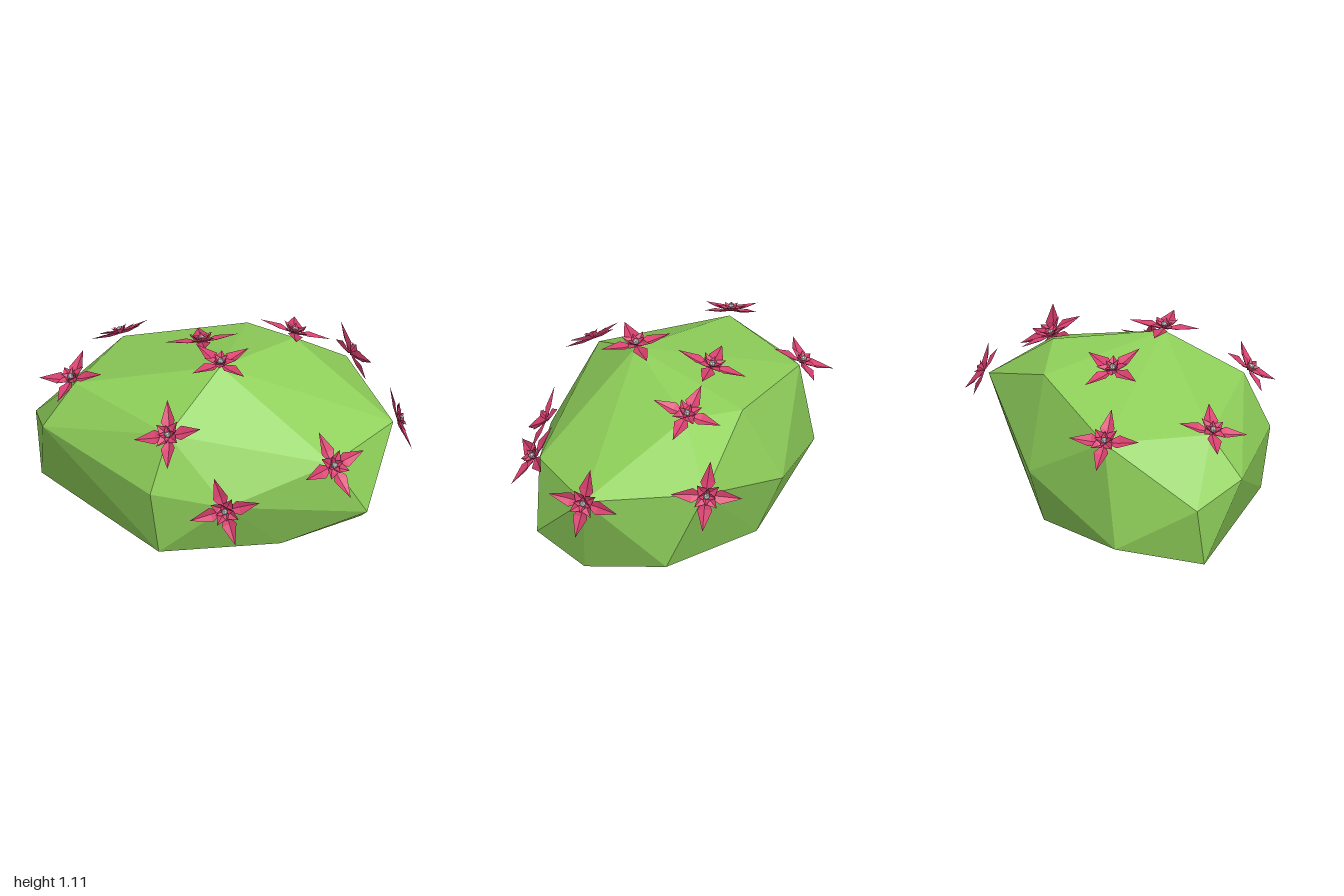
import * as THREE from 'three';
import { ConvexGeometry } from 'three/addons/geometries/ConvexGeometry.js';

const green = new THREE.MeshStandardMaterial({ color: 0x8fd05a, flatShading: true });
const pink = new THREE.MeshStandardMaterial({ color: 0xd8406f, flatShading: true, side: THREE.DoubleSide });
const grey = new THREE.MeshStandardMaterial({ color: 0xcccccc, flatShading: true });

// Corners of the faceted bush body
const corners = [
  [-0.17, 1.05, 0.18], [0.46, 0.95, 0], [0.36, 0.9, -0.36], // crown
  [0.85, 0.67, -0.05], [0.73, 0.62, 0.65], [0.2, 0.59, 0.82], // shoulders
  [-0.42, 0.4, 0.64], [-0.62, 0.8, 0.32], [-0.76, 0.79, -0.48], [-0.22, 0.77, -0.8],
  [-0.97, 0.55, -0.5], [-0.82, 0.45, -0.81], [-0.77, 0.46, 0.36], [0.35, 0.38, -0.6],
  [0.41, 0.22, 0.87], [0.79, 0.14, 0.17], [-0.34, 0.15, -0.91], // lower rim
  [-0.83, 0.07, -0.73], [-0.71, 0.05, 0.36], [-0.03, 0.02, 0.62],
  [0.53, 0.02, 0.61], [0.32, 0, -0.45],
];

// Flowers: centre, then facing direction
const flowers = [
  [[-0.17, 1.06, 0.18], [0, 1, 0.05]],
  [[0.46, 0.97, -0.01], [0.35, 0.93, 0]],
  [[-0.03, 0.95, -0.24], [0.05, 0.95, -0.25]],
  [[0.87, 0.68, -0.05], [0.95, 0.3, 0]],
  [[0.75, 0.63, 0.65], [0.85, 0.3, 0.45]],
  [[0.19, 0.59, 0.84], [0, 0.6, 0.8]],
  [[-0.44, 0.4, 0.66], [-0.6, 0.2, 0.75]],
  [[-0.63, 0.81, 0.35], [-0.65, 0.7, 0.25]],
  [[-0.77, 0.81, -0.49], [-0.4, 0.9, -0.1]],
  [[-0.23, 0.78, -0.81], [0, 0.85, -0.53]],
];

// Kite petal pointing along +y, creased down the middle; z is its rise
function petalGeometry(length, halfWidth, rise) {
  const m = length * 0.4;
  const base = [0, 0, 0.005], tip = [0, length, rise], mid = [0, m, rise * 0.25];
  const l = [-halfWidth, m, rise * 0.4 + 0.012], r = [halfWidth, m, rise * 0.4 + 0.012];
  const points = [base, mid, l, l, mid, tip, base, r, mid, mid, r, tip].flat();
  const g = new THREE.BufferGeometry();
  g.setAttribute('position', new THREE.Float32BufferAttribute(points, 3));
  g.computeVertexNormals();
  return g;
}

// Rings of petals from outside in: name, geometry, turn
const rings = [
  ['outerPetal', petalGeometry(0.215, 0.045, 0.03), 0.14],
  ['innerPetal', petalGeometry(0.095, 0.032, 0.04), 0.14 + Math.PI / 4],
  ['heartPetal', petalGeometry(0.055, 0.02, 0.05), 0.14],
];
const centreGeometry = new THREE.IcosahedronGeometry(0.02, 0);

function makeFlower(position, facing) {
  const flower = new THREE.Group();
  flower.name = 'flower';
  for (const [name, geometry, turn] of rings) {
    for (let i = 0; i < 4; i++) {
      const petal = new THREE.Mesh(geometry, pink);
      petal.name = name;
      petal.rotation.z = turn + i * Math.PI / 2;
      flower.add(petal);
    }
  }
  const centre = new THREE.Mesh(centreGeometry, grey);
  centre.name = 'flowerCentre';
  centre.position.z = 0.03;
  flower.add(centre);

  flower.position.set(...position);
  flower.up.set(0, 1, -0.3).normalize();
  flower.lookAt(flower.position.clone().add(new THREE.Vector3(...facing)));
  return flower;
}

export function createModel() {
  const model = new THREE.Group();
  model.name = 'floweringBush';

  const bush = new THREE.Mesh(new ConvexGeometry(corners.map((p) => new THREE.Vector3(...p))), green);
  bush.name = 'bushBody';
  model.add(bush);

  for (const [position, facing] of flowers) model.add(makeFlower(position, facing));
  return model;
}
